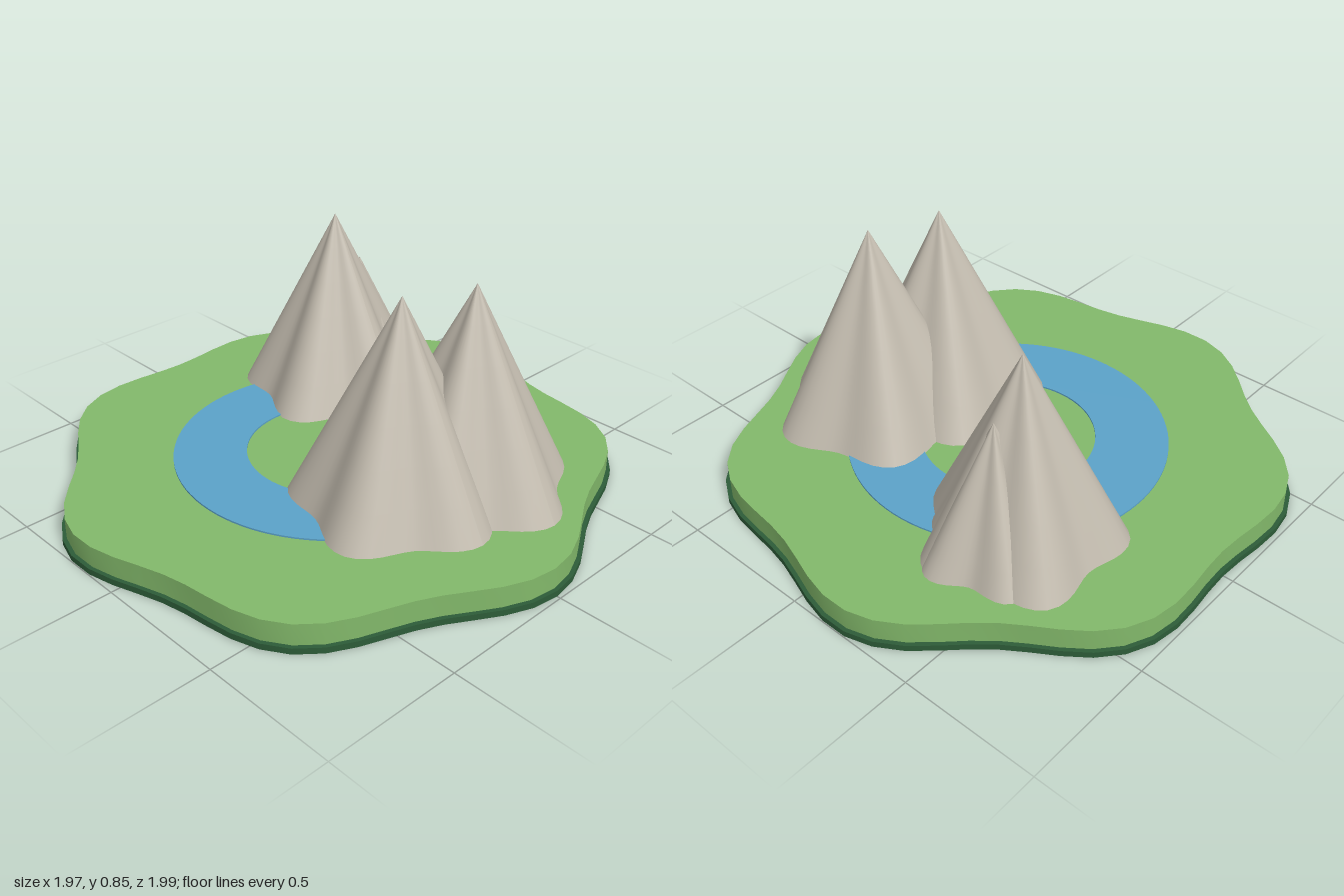
import * as THREE from 'three';
import { toCreasedNormals } from 'three/addons/utils/BufferGeometryUtils.js';

const CENTER_X = -0.03;

const makeMaterial = (name, color) => {
  const material = new THREE.MeshStandardMaterial({ color });
  material.name = name;
  return material;
};

// flat slab: a shape in plan, extruded upwards
function slab(shape, height, curveSegments = 12) {
  const geometry = new THREE.ExtrudeGeometry(shape, { depth: height, bevelEnabled: false, curveSegments });
  geometry.rotateX(-Math.PI / 2);
  return toCreasedNormals(geometry, 0.6);
}

// island outline with seven gentle lobes
function islandShape(inset) {
  const points = [];
  for (let i = 0; i < 64; i++) {
    const a = (i / 64) * Math.PI * 2;
    const r = 0.975 + 0.042 * Math.cos(7 * a) - inset;
    points.push(new THREE.Vector2(r * Math.cos(a), r * Math.sin(a)));
  }
  return new THREE.Shape(points);
}

// cone whose base is pushed in and out into five lobes
function mountainGeometry(radius, wave, height) {
  const geometry = new THREE.ConeGeometry(1, height, 60, 6, true);
  geometry.rotateY(Math.PI / 2);
  geometry.translate(0, height / 2, 0);
  const p = geometry.attributes.position;
  for (let i = 0; i < p.count; i++) {
    const r = radius + wave * Math.cos(5 * Math.atan2(p.getZ(i), p.getX(i)));
    p.setX(i, p.getX(i) * r);
    p.setZ(i, p.getZ(i) * r);
  }
  geometry.computeVertexNormals();
  return geometry;
}

export function createModel() {
  const model = new THREE.Group();
  model.name = 'mountainIsland';
  const soil = makeMaterial('darkGreen', 0x2d5c38);
  const grass = makeMaterial('grassGreen', 0x82b86a);
  const water = makeMaterial('waterBlue', 0x5ba2c8);
  const rock = makeMaterial('rockGrey', 0xc2bbae);

  const add = (name, geometry, material, x, y, z) => {
    const mesh = new THREE.Mesh(geometry, material);
    mesh.name = name;
    mesh.position.set(x, y, z);
    model.add(mesh);
  };

  // ground layers
  add('islandBase', slab(islandShape(0), 0.022), soil, CENTER_X, 0, 0);
  add('grassLayer', slab(islandShape(0.015), 0.078), grass, CENTER_X, 0.022, 0);

  // ring-shaped river
  const ring = new THREE.Shape().absarc(0, 0, 0.578, 0, Math.PI * 2, false);
  ring.holes.push(new THREE.Path().absarc(0, 0, 0.315, 0, Math.PI * 2, true));
  add('riverRing', slab(ring, 0.006, 48), water, CENTER_X, 0.1, 0);

  // mountains: name, x, z, radius, wave, height
  const mountains = [
    ['backLeftMountain', 0.445, -0.185, 0.345, 0.036, 0.745],
    ['frontLeftMountain', 0.355, 0.07, 0.345, 0.036, 0.75],
    ['rightMountain', -0.4, -0.36, 0.322, 0.037, 0.71],
    ['smallMountain', -0.385, -0.475, 0.225, 0.03, 0.51],
  ];
  for (const [name, x, z, radius, wave, height] of mountains) {
    add(name, mountainGeometry(radius, wave, height), rock, x, 0.1, z);
  }
  return model;
}
